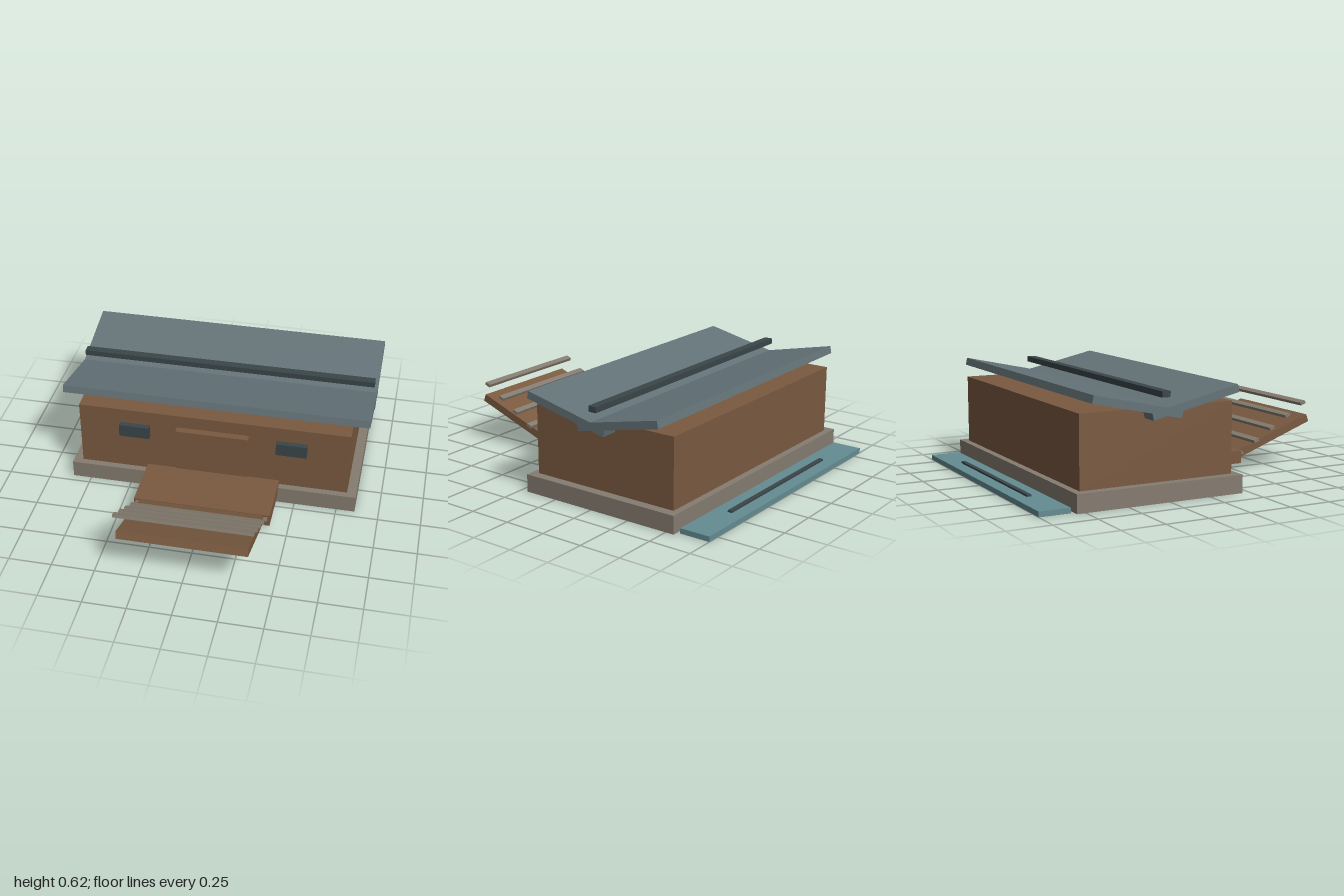
import * as THREE from 'three';

const paint = (color) => new THREE.MeshStandardMaterial({ color });

export function createModel() {
  const group = new THREE.Group();
  const wood = paint(0x7a5a40), stone = paint(0x857c70), roofing = paint(0x647378);
  const dark = paint(0x3a464a), water = paint(0x648c92);

  // Box given by its centre and size, optionally tilted about x
  function box(name, material, [x, y, z], [w, h, d], tilt = 0) {
    const mesh = new THREE.Mesh(new THREE.BoxGeometry(w, h, d), material);
    mesh.name = name;
    mesh.position.set(x, y, z);
    mesh.rotation.x = tilt;
    group.add(mesh);
  }

  // House body on its plinth
  box('plinth', stone, [0, 0.052, -0.298], [1.72, 0.104, 1.005]);
  box('walls', wood, [0, 0.307, -0.298], [1.61, 0.406, 0.925]);

  // Butterfly roof: two panels crossing in a valley, with a rail above it
  const valley = -0.294;
  for (const s of [1, -1]) {
    const name = s > 0 ? 'frontRoofPanel' : 'backRoofPanel';
    box(name, roofing, [0, 0.536, valley + s * 0.173], [1.81, 0.044, 0.537], -s * 0.217);
  }
  box('valleyRail', dark, [0, 0.588, valley], [1.776, 0.033, 0.05]);

  // Door and the two windows
  box('door', wood, [0, 0.295, 0.185], [0.43, 0.27, 0.045]);
  for (const s of [1, -1]) {
    box(s > 0 ? 'leftWindow' : 'rightWindow', dark, [s * 0.468, 0.381, 0.18], [0.18, 0.077, 0.036]);
  }

  // Landing, raised ramp and the slats along it
  const slope = -0.349;
  box('landing', wood, [0, 0.093, 0.327], [0.8, 0.074, 0.335]);
  box('ramp', wood, [0, 0.18, 0.708], [0.73, 0.046, 0.607], slope);
  for (let i = 0; i < 5; i++) {
    box('rampSlat' + (i + 1), stone, [0, 0.111 + i * 0.0675, 0.5 + i * 0.1108], [0.775, 0.018, 0.036], slope);
  }

  // Shallow pool behind the house with a bar along it
  box('pool', water, [0, 0.015, -0.91], [1.655, 0.03, 0.18]);
  box('poolBar', dark, [0, 0.035, -0.912], [1.0, 0.012, 0.026]);

  return group;
}
